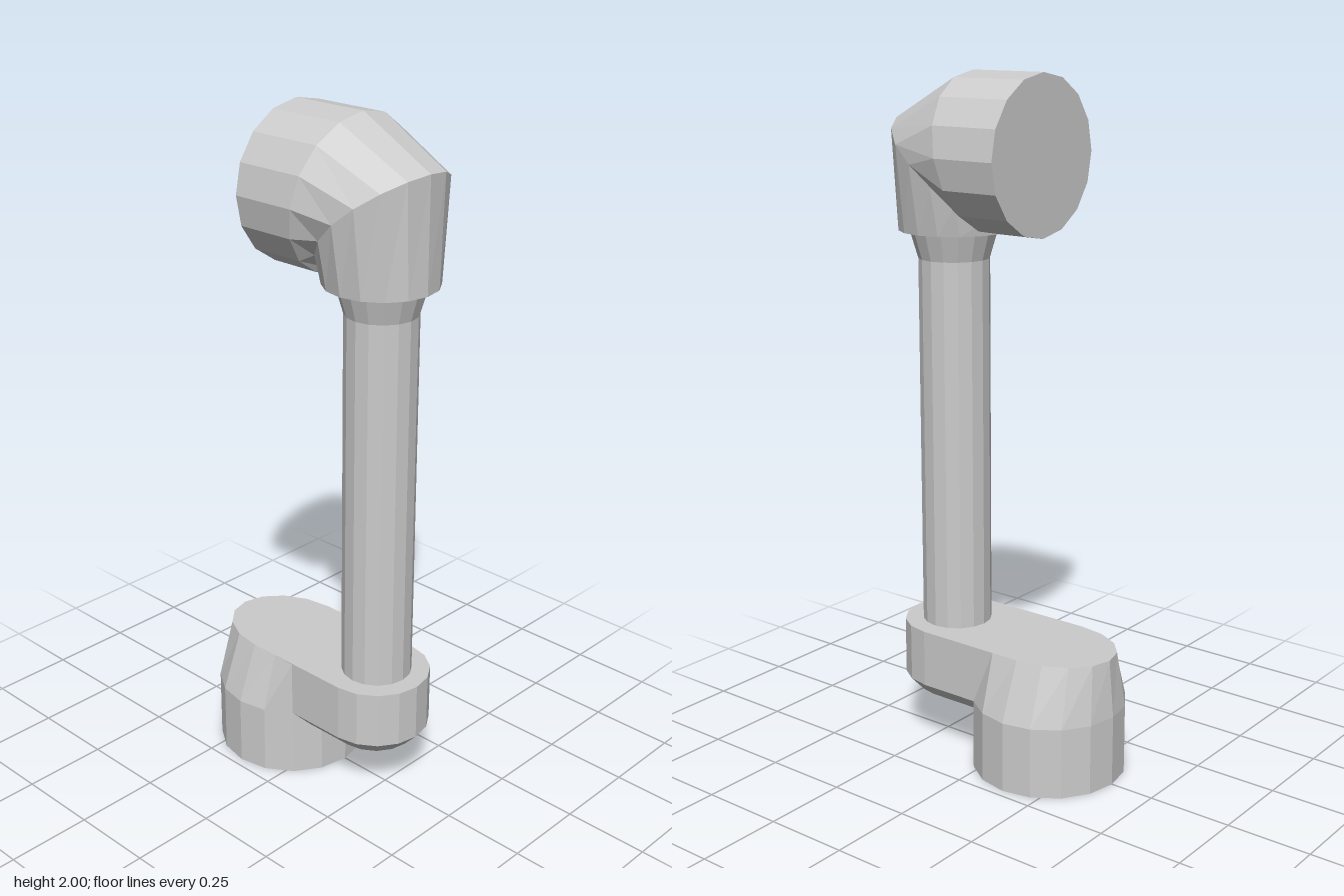
import * as THREE from 'three';

const N = 16;
const gray = (side = THREE.FrontSide) =>
  new THREE.MeshStandardMaterial({ color: 0xcccccc, flatShading: true, side });

// One closed ring of points from a function of the angle (0 = front, then towards +x)
function ring(fn) {
  return Array.from({ length: N }, (_, i) => {
    const a = (i / N) * Math.PI * 2;
    return new THREE.Vector3(...fn(Math.sin(a), Math.cos(a)));
  });
}

// Skin consecutive rings and close the chosen ends
function loft(rings, capStart = true, capEnd = true) {
  const pos = [];
  const tri = (...ps) => ps.forEach((p) => pos.push(p.x, p.y, p.z));
  const n = rings[0].length;
  for (let r = 0; r < rings.length - 1; r++) {
    for (let i = 0; i < n; i++) {
      const j = (i + 1) % n;
      const [a, b] = [rings[r], rings[r + 1]];
      tri(a[i], a[j], b[j]);
      tri(a[i], b[j], b[i]);
    }
  }
  const cap = (pts, flip) => {
    const c = pts.reduce((s, p) => s.add(p), new THREE.Vector3()).divideScalar(n);
    for (let i = 0; i < n; i++) {
      const j = (i + 1) % n;
      if (flip) tri(c, pts[j], pts[i]);
      else tri(c, pts[i], pts[j]);
    }
  };
  if (capStart) cap(rings[0], true);
  if (capEnd) cap(rings[rings.length - 1], false);
  const g = new THREE.BufferGeometry();
  g.setAttribute('position', new THREE.Float32BufferAttribute(pos, 3));
  g.computeVertexNormals();
  return g;
}

export function createModel() {
  const group = new THREE.Group();
  const add = (name, geometry, side) => {
    const mesh = new THREE.Mesh(geometry, gray(side));
    mesh.name = name;
    group.add(mesh);
  };

  // Lower joint: round socket, open below, narrowing to the width of the arm
  const R = 0.225, baseZ = -0.14, frontZ = 0.205, w = 0.16;
  const socket = (y) => ring((s, c) => [R * s, y, baseZ + R * c]);
  const socketTop = ring((s, c) => c > 0.01
    ? [THREE.MathUtils.clamp(R * s, -w, w), 0.38, baseZ + R * c]
    : [w * s, 0.38, baseZ + 0.21 * c]);
  add('lowerJoint', loft([socket(0), socket(0.21), socketTop], false), THREE.DoubleSide);

  // Foot arm: rounded front, straight sides, chamfered underside
  const slab = (y, r) => ring((s, c) => c > -0.01
    ? [r * s, y, frontZ + r * c]
    : [r * THREE.MathUtils.clamp(s * 1.42, -1, 1), y, Math.abs(s) > 0.9 ? 0.08 : -0.054]);
  add('footArm', loft([slab(0.165, 0.118), slab(0.21, w), slab(0.38, w)]));

  // Post with a flared collar
  const disc = (y, r) => ring((s, c) => [r * s, y, 0.208 + r * c]);
  add('post', loft([disc(0.37, 0.103), disc(1.475, 0.103), disc(1.557, 0.127)]));

  // Elbow: vertical collar turning back into a wide horizontal barrel
  const barrel = (zFn) => ring((s, c) => [R * s, 1.7775 + 0.2225 * c, zFn(c)]);
  add('elbow', loft([
    ring((s, c) => [w * s, 1.555, frontZ + w * c]),
    ring((s, c) => [0.193 * s, 1.555 + 0.32 * Math.pow(Math.max(0, (1 + c) / 2), 0.7), frontZ + w * c]),
    barrel((c) => 0.09 + 0.045 * c),
    barrel(() => -0.107),
  ]));

  return group;
}
